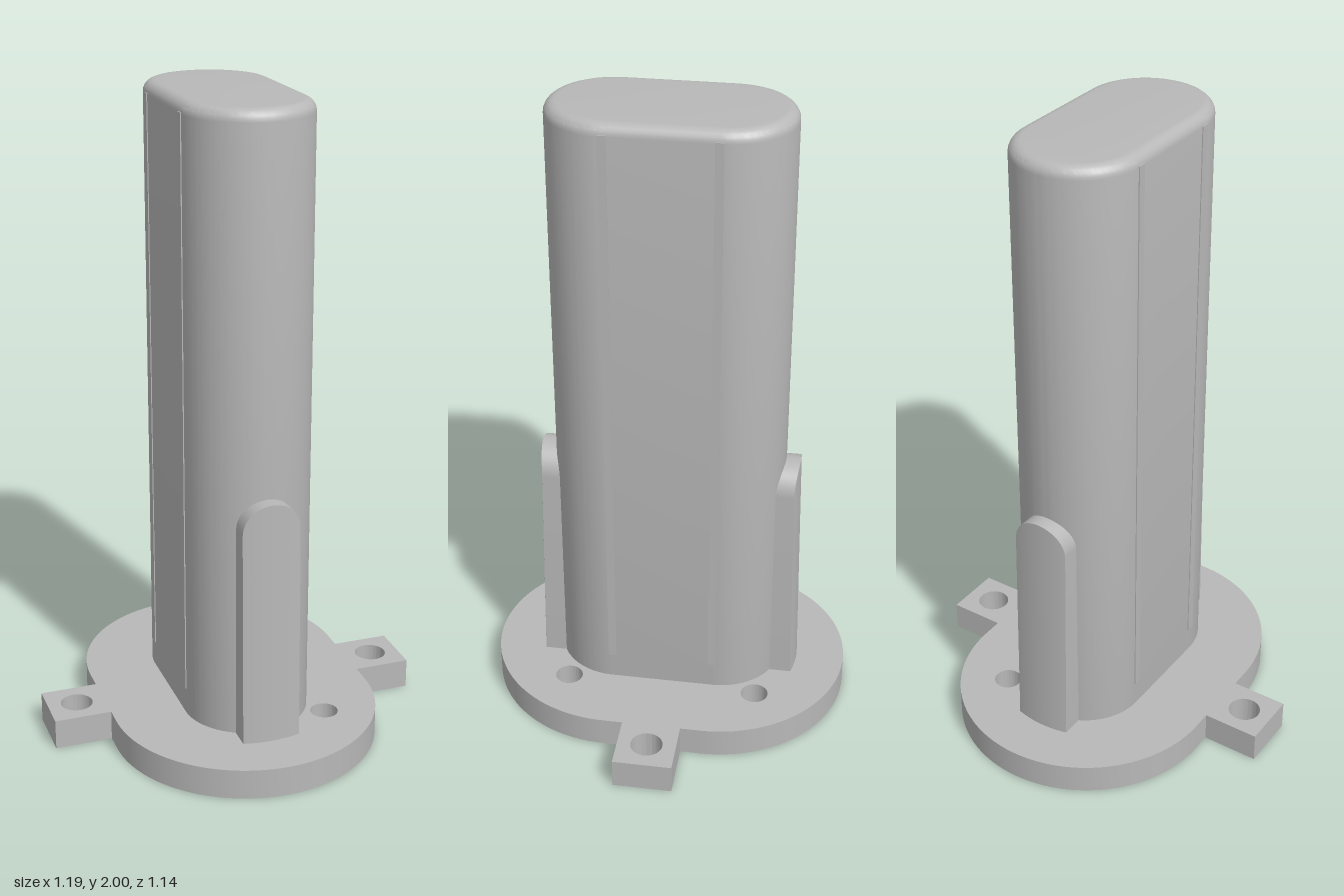
import * as THREE from 'three';
import { toCreasedNormals } from 'three/addons/utils/BufferGeometryUtils.js';

const BASE_H = 0.095;

// Extrudes a plan shape upwards, keeping real edges sharp
function extrudeUp(shape, y0, options) {
  const geo = new THREE.ExtrudeGeometry(shape, { curveSegments: 40, ...options });
  geo.rotateX(-Math.PI / 2);
  geo.translate(0, y0, 0);
  return toCreasedNormals(geo, 0.5);
}

// Plan outline: straight sides with two half-circle ends, and optional side tabs
function stadium(r, c, tabX = 0, tabZ = 0) {
  const s = new THREE.Shape();
  s.moveTo(r, -c);
  if (tabX) [[r, -tabZ], [tabX, -tabZ], [tabX, tabZ], [r, tabZ]].forEach(p => s.lineTo(...p));
  s.lineTo(r, c);
  s.absarc(0, c, r, 0, Math.PI, false);
  if (tabX) [[-r, tabZ], [-tabX, tabZ], [-tabX, -tabZ], [-r, -tabZ]].forEach(p => s.lineTo(...p));
  s.lineTo(-r, -c);
  s.absarc(0, -c, r, Math.PI, 2 * Math.PI, false);
  return s;
}

// Arched key with a bowed outer face that leans in towards the top
function keyGeometry() {
  const half = 0.09, spring = 0.775, bottom = BASE_H - 0.01;
  const geo = new THREE.BoxGeometry(2, 1, 1, 24, 1, 1);
  const p = geo.attributes.position;
  for (let i = 0; i < p.count; i++) {
    const a = p.getX(i) * Math.PI / 2;
    const x = half * Math.sin(a);
    const y = p.getY(i) > 0 ? spring + half * Math.cos(a) : bottom;
    const outer = 0.418 - 0.014 * (y - bottom) / 0.78 - 0.012 * (x / half) ** 2;
    p.setXYZ(i, x, y, p.getZ(i) > 0 ? outer : 0.3);
  }
  return toCreasedNormals(geo, 0.5);
}

export function createModel() {
  const group = new THREE.Group();
  const grey = new THREE.MeshStandardMaterial({ color: 0xb8b8b8 });
  grey.name = 'grey';
  const add = (geo, name) => {
    const mesh = new THREE.Mesh(geo, grey);
    mesh.name = name;
    group.add(mesh);
    return mesh;
  };

  // Flange with two tabs and four through holes
  const flange = stadium(0.416, 0.155, 0.595, 0.092);
  const holes = [[-0.503, 0, 0.05], [0.503, 0, 0.05], [0.215, 0.302, 0.043], [0.215, -0.302, 0.043]];
  for (const [x, z, r] of holes) {
    const hole = new THREE.Path();
    hole.absarc(x, z, r, 0, 2 * Math.PI, true);
    flange.holes.push(hole);
  }
  add(extrudeUp(flange, 0, { depth: BASE_H, bevelEnabled: false }), 'flange');

  // Tall column with a rounded top edge; its lower edge sits inside the flange
  const f = 0.035, start = 0.02;
  add(extrudeUp(stadium(0.195 - f, 0.164), start + f, {
    depth: 2 - start - 2 * f, bevelThickness: f, bevelSize: f, bevelSegments: 6,
  }), 'column');

  // Keys at front and back
  const key = keyGeometry();
  add(key, 'frontKey');
  add(key, 'backKey').rotation.y = Math.PI;

  // Slim ribs along the flat sides
  const rib = new THREE.BoxGeometry(0.012, 1.79, 0.025);
  for (const side of [1, -1]) {
    for (const end of [1, -1]) {
      const name = (side > 0 ? 'left' : 'right') + (end > 0 ? 'Front' : 'Back') + 'Rib';
      add(rib, name).position.set(side * 0.192, 1.075, end * 0.161);
    }
  }
  return group;
}
